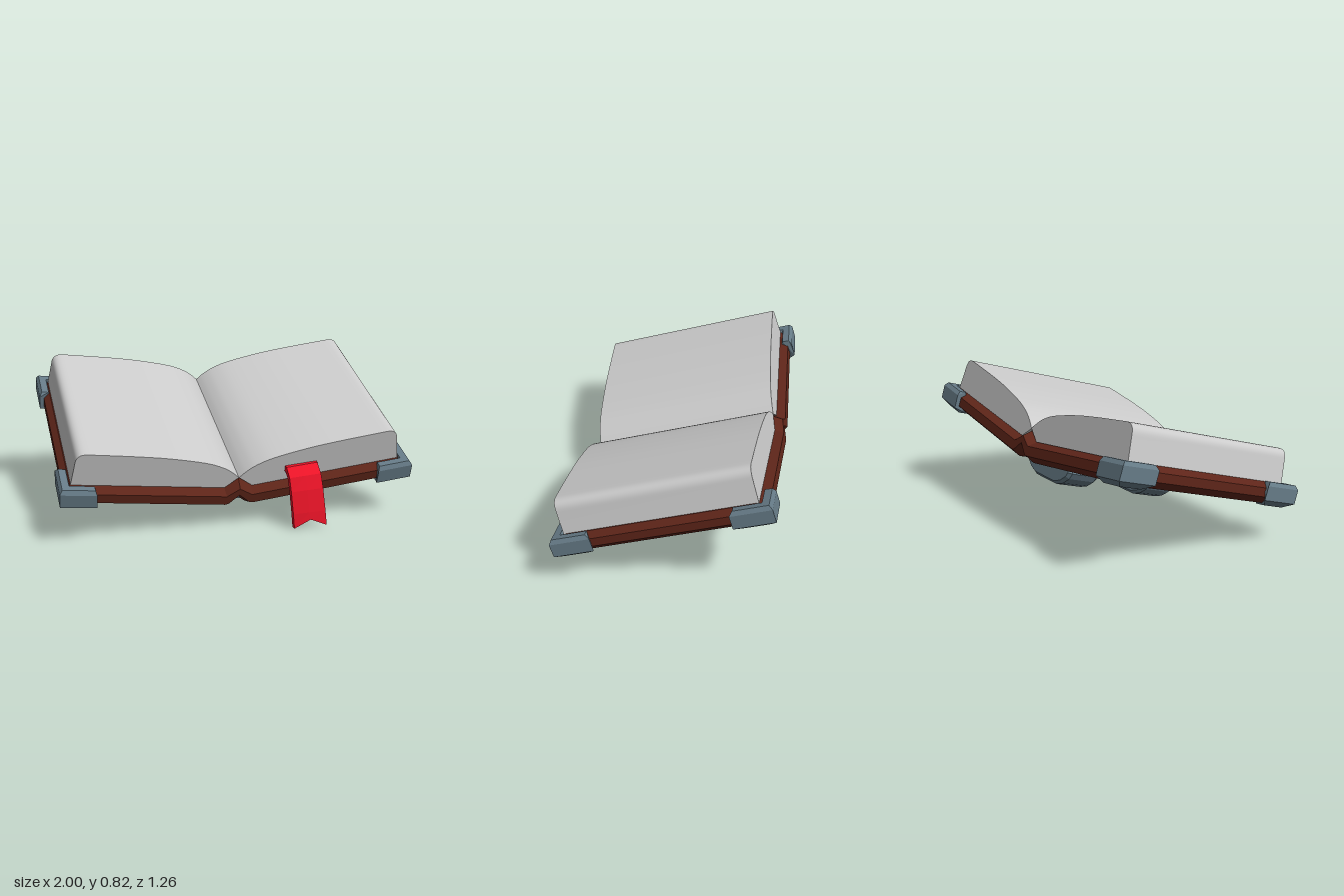
import * as THREE from 'three';
import { toCreasedNormals } from 'three/addons/utils/BufferGeometryUtils.js';

const mat = (color) => new THREE.MeshStandardMaterial({ color, roughness: 0.8 });
const V2 = (x, y) => new THREE.Vector2(x, y);

// Extrude a profile along z, centred, with the bevel kept inside the profile
function slab(points, length, bevelT = 0, bevelS = 0) {
  const depth = length - 2 * bevelT;
  const geo = new THREE.ExtrudeGeometry(new THREE.Shape(points), {
    depth, bevelEnabled: bevelT > 0, bevelThickness: bevelT, bevelSize: bevelS,
    bevelOffset: -bevelS, bevelSegments: 1,
  });
  return geo.translate(0, 0, -depth / 2);
}

// Complete a right-hand half profile (from x = 0 round to x = 0) by mirroring
function mirrored(half) {
  const inner = half.slice(1, -1).reverse().map(([x, y]) => [-x, y]);
  return [...half, ...inner].map(([x, y]) => V2(x, y));
}

// Flat-shaded loft through rows of points, capped at both ends
function loft(rows) {
  const pos = [], n = rows[0].length;
  const quad = (a, b, c, d) => [a, b, c, a, c, d].forEach((p) => pos.push(...p));
  for (let r = 0; r < rows.length - 1; r++)
    for (let i = 0; i < n; i++) {
      const j = (i + 1) % n;
      quad(rows[r][i], rows[r][j], rows[r + 1][j], rows[r + 1][i]);
    }
  const first = rows[0], last = rows[rows.length - 1];
  for (let i = 0; i < n / 2 - 1; i++) {
    quad(first[n - 1 - i], first[n - 2 - i], first[i + 1], first[i]);
    quad(last[i], last[i + 1], last[n - 2 - i], last[n - 1 - i]);
  }
  const geo = new THREE.BufferGeometry();
  geo.setAttribute('position', new THREE.Float32BufferAttribute(pos, 3));
  geo.computeVertexNormals();
  return geo;
}

// One block of pages; side is +1 or -1
function pageBlock(side) {
  const top = new THREE.SplineCurve([
    V2(0, 0.422), V2(0.04, 0.46), V2(0.1, 0.5), V2(0.2, 0.54), V2(0.4, 0.588),
    V2(0.6, 0.622), V2(0.84, 0.656),
  ]).getPoints(30);
  const corner = new THREE.CubicBezierCurve(
    V2(0.84, 0.656), V2(0.89, 0.663), V2(0.908, 0.64), V2(0.912, 0.6)).getPoints(8).slice(1);
  const pts = [...top, ...corner, V2(0.935, 0.47), V2(0.08, 0.362)];
  return toCreasedNormals(slab(pts.map((p) => V2(p.x * side, p.y)), 1.07), 0.5);
}

// Metal guard wrapped round one cover corner
function cornerGuard(sx, sz) {
  // inset from the edge, height, and how far the open end is cut back
  const section = [
    [0, 0.1, 0], [0, 0.02, 0], [0.045, -0.01, 0.05],
    [0.11, -0.01, 0.05], [0.055, 0.124, 0.02], [0.015, 0.124, 0.02],
  ];
  const at = (x, z, h) => [x * sx, 0.235 + 0.126 * x + h, z * sz];
  const rows = [
    section.map(([d, h, e]) => at(0.8 + e * 0.4, 0.608 - d, h)),
    section.map(([d, h]) => at(1 - d, 0.608 - d, h)),
    section.map(([d, h, e]) => at(1 - d, 0.38 + e, h)),
  ];
  return loft(sx * sz > 0 ? rows : rows.reverse());
}

// Hanging bookmark with a swallow-tail end
function ribbonGeometry() {
  // z, y, centre x, twist in z, notch rise
  const path = [
    [0.44, 0.345, 0.353, 0, 0], [0.515, 0.338, 0.353, 0, 0], [0.555, 0.298, 0.357, 0.004, 0],
    [0.575, 0.225, 0.363, 0.008, 0], [0.592, 0.1, 0.373, 0.012, 0],
    [0.597, 0.016, 0.38, 0.014, 0.043],
  ];
  const t = 0.018;
  const rows = path.map(([z, y, x, twist, notch], i) => {
    const a = path[Math.max(i - 1, 0)], b = path[Math.min(i + 1, path.length - 1)];
    const dz = b[0] - a[0], dy = b[1] - a[1], l = Math.hypot(dz, dy);
    const nz = (-dy / l) * t, ny = (dz / l) * t;
    const point = (s, f) => [
      x + s * 0.09, y + f * ny + (s === 0 ? notch : s * 0.008), z + f * nz + s * twist,
    ];
    return [point(1, 1), point(0, 1), point(-1, 1), point(-1, -1), point(0, -1), point(1, -1)];
  });
  return loft(rows);
}

export function createModel() {
  const model = new THREE.Group();
  model.name = 'openBook';
  const paper = mat(0xcccccc), leather = mat(0x5e2519);
  const metal = mat(0x667b87), red = mat(0xee1428);
  const add = (parent, name, geo, material) => {
    const mesh = new THREE.Mesh(geo, material);
    mesh.name = name;
    parent.add(mesh);
    return mesh;
  };

  // The book leans toward the front
  const book = new THREE.Group();
  book.name = 'book';
  book.position.set(0, 0.046, -0.153);
  book.rotation.x = 0.293;
  model.add(book);

  // Cover: two boards meeting at a grooved spine
  const cover = mirrored([
    [0, 0.415], [0.08, 0.365], [0.94, 0.474], [0.975, 0.445], [0.975, 0.395],
    [0.935, 0.353], [0.08, 0.243], [0.045, 0.25], [0, 0.29],
  ]);
  add(book, 'cover', slab(cover, 1.16, 0.06, 0.033), leather);

  // Pages
  add(book, 'leftPages', pageBlock(1), paper);
  add(book, 'rightPages', pageBlock(-1), paper);

  // Corner guards
  for (const sx of [1, -1])
    for (const sz of [1, -1])
      add(book, 'cornerGuard', cornerGuard(sx, sz), metal);

  // Curved spine clasps
  const clasp = mirrored([
    [0, 0.31], [0.22, 0.285], [0.24, 0.24], [0.22, 0.205], [0.17, 0.168], [0.11, 0.147], [0, 0.146],
  ]);
  for (const z of [0.28, -0.272])
    add(book, 'spineClasp', slab(clasp, 0.208, 0.02, 0.016), metal).position.z = z;

  // Ribbon
  add(model, 'ribbonBookmark', ribbonGeometry(), red);
  return model;
}
